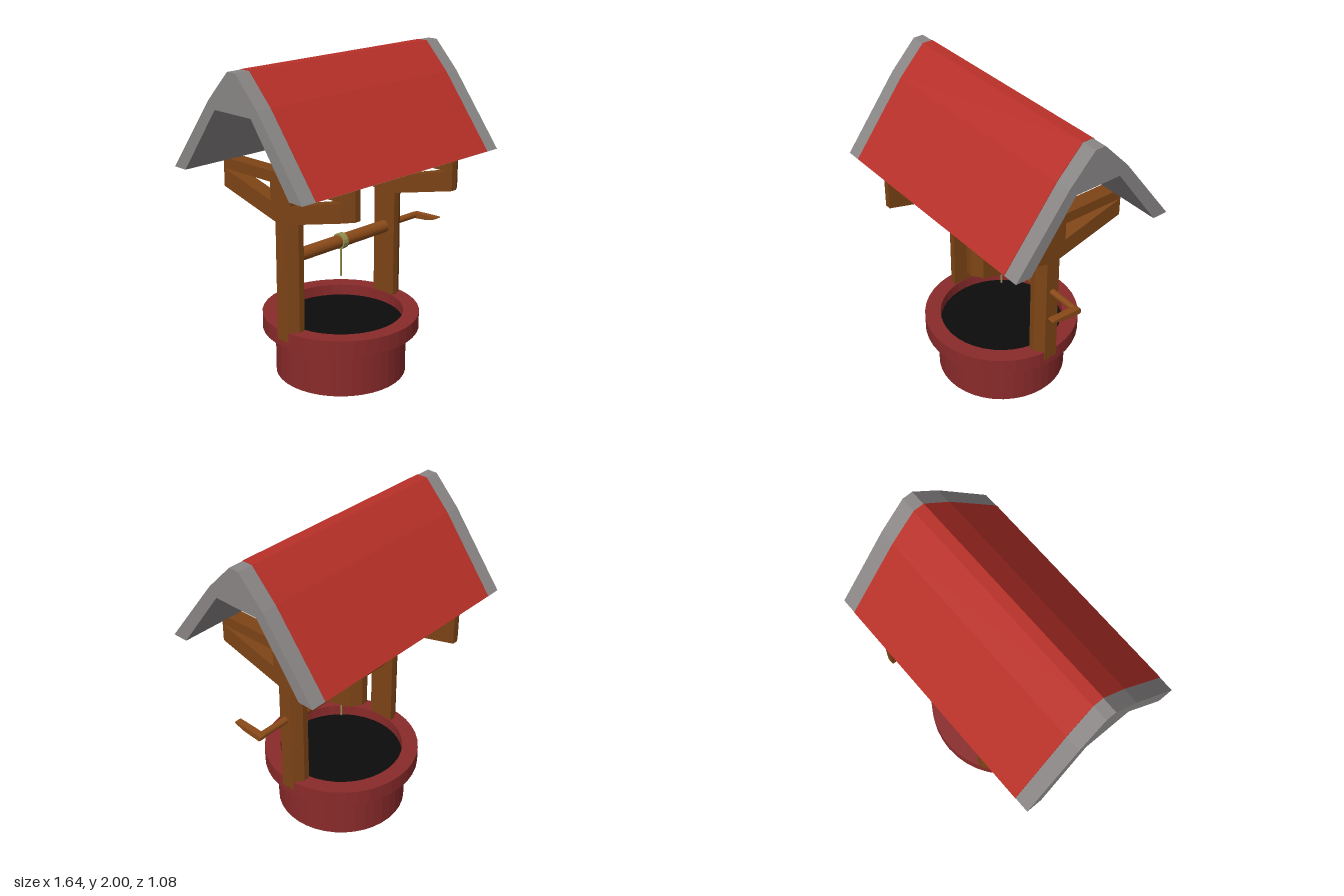
import * as THREE from 'three';

const mat = (color, side = THREE.FrontSide) =>
  new THREE.MeshStandardMaterial({ color, side, flatShading: true });
const wood = mat(0x7d4416);
const axleWood = mat(0x8a4a18);
const brick = mat(0x8a2a2a);
const red = mat(0xb83028);
const grey = mat(0x8a8686);
const ropeMat = mat(0x93904f);
const dark = mat(0x0c0c0c);

function add(parent, name, geometry, material) {
  const mesh = new THREE.Mesh(geometry, material);
  mesh.name = name;
  parent.add(mesh);
  return mesh;
}

const toShape = (pts) => new THREE.Shape(pts.map(([a, b]) => new THREE.Vector2(a, b)));

// Extrude a [z, y] outline along x between x0 and x1
function extrudeX(shape, x0, x1, steps = 1) {
  const geo = new THREE.ExtrudeGeometry(shape, { depth: x1 - x0, steps, bevelEnabled: false, curveSegments: 8 });
  return geo.rotateY(-Math.PI / 2).translate(x1, 0, 0);
}

// Mirror a half outline across z = 0 to close it
const mirrored = (half) => [...half, ...half.slice().reverse().map(([z, y]) => [-z, y])];

const cylinderX = (r, x0, x1, sides) =>
  new THREE.CylinderGeometry(r, r, x1 - x0, sides).rotateZ(Math.PI / 2).translate((x0 + x1) / 2, 0, 0);

function createWell() {
  const well = new THREE.Group();
  well.name = 'wellBase';
  // Wall, overhanging rim and inner lining, turned as one profile
  const profile = [[0.41, 0], [0.41, 0.3], [0.49, 0.3], [0.49, 0.4], [0.39, 0.4], [0.39, 0.32]];
  add(well, 'wall', new THREE.LatheGeometry(profile.map(([r, y]) => new THREE.Vector2(r, y)), 40), brick);
  add(well, 'water', new THREE.CircleGeometry(0.39, 40).rotateX(-Math.PI / 2).translate(0, 0.33, 0), dark);
  // Timber undersides
  add(well, 'floor', new THREE.CircleGeometry(0.41, 40).rotateX(Math.PI / 2), wood);
  add(well, 'rimUnderside', new THREE.RingGeometry(0.41, 0.49, 40).rotateX(Math.PI / 2).translate(0, 0.299, 0), wood);
  return well;
}

// One post with its roof bracket, on the +x side
function createSupport() {
  const support = new THREE.Group();
  support.name = 'support';

  // Post with chamfered outer corners
  const section = toShape([[0.39, -0.085], [0.43, -0.085], [0.49, -0.045], [0.49, 0.045], [0.43, 0.085], [0.39, 0.085]]);
  const post = new THREE.ExtrudeGeometry(section, { depth: 1.04, bevelEnabled: false });
  add(support, 'post', post.rotateX(-Math.PI / 2).translate(0, 0.34, 0), wood);

  // Bracket: top beam, end blocks and diagonal braces around two openings
  const outline = toShape(mirrored([[0.045, 1.08], [0.54, 1.2], [0.54, 1.38]]));
  for (const s of [1, -1]) {
    const hole = [[0.085, 1.2], [0.085, 1.313], [0.5, 1.313]];
    outline.holes.push(new THREE.Path(hole.map(([z, y]) => new THREE.Vector2(s * z, y))));
  }
  const bracket = extrudeX(outline, 0.39, 0.49, 5);
  // Chamfer the outer corners of the end blocks
  const p = bracket.attributes.position;
  for (let i = 0; i < p.count; i++) {
    const limit = 0.54 - Math.max(0, p.getX(i) - 0.43) * 0.65;
    p.setZ(i, THREE.MathUtils.clamp(p.getZ(i), -limit, limit));
  }
  bracket.computeVertexNormals();
  add(support, 'bracket', bracket, wood);
  return support;
}

function createWinch() {
  const winch = new THREE.Group();
  winch.name = 'winch';
  winch.position.y = 0.85;
  add(winch, 'axle', cylinderX(0.04, -0.4, 0.4, 16), axleWood);
  add(winch, 'crankShaft', cylinderX(0.021, 0.48, 0.69, 12).translate(0, 0.007, 0), axleWood);

  // Crank arm tapering forward
  const arm = toShape([[-0.022, -0.005], [-0.01, -0.014], [0.11, -0.003], [0.17, 0.014], [0.19, 0.024],
    [0.185, 0.03], [0.16, 0.03], [-0.01, 0.023], [-0.022, 0.015]]);
  add(winch, 'crankArm', extrudeX(arm, 0.677, 0.72), axleWood);

  add(winch, 'ropeCoil', cylinderX(0.05, -0.02, 0.02, 16), ropeMat);
  add(winch, 'rope', new THREE.CylinderGeometry(0.006, 0.006, 0.2, 8).translate(0, -0.13, 0), ropeMat);
  return winch;
}

function createRoof() {
  const roof = new THREE.Group();
  roof.name = 'roof';
  const outer = [[0.54, 1.38], [0.2, 1.825], [0.033, 2]];
  const inner = [[-0.15, 1.775], [-0.44, 1.38]];
  const full = [...mirrored(outer), ...inner, [0.15, 1.775]];
  full.splice(full.length - 3, 3, [-0.44, 1.38], [-0.15, 1.775], [0.15, 1.775], [0.44, 1.38]);
  add(roof, 'roofFrame', extrudeX(toShape(full), -0.82, 0.82), grey);

  // Thin red cladding over the slopes and ridge, leaving the gable strips bare
  const skin = mirrored(outer.map(([z, y]) => [z + 0.002, y + 0.002]));
  const under = mirrored(outer.map(([z, y]) => [z - 0.01, y - 0.01])).reverse();
  under[0][1] = under[under.length - 1][1] = 1.382;
  add(roof, 'roofCladding', extrudeX(toShape([...skin, ...under]), -0.722, 0.722), red);
  return roof;
}

export function createModel() {
  const model = new THREE.Group();
  model.name = 'wishingWell';
  model.add(createWell());

  for (const [name, turn] of [['leftSupport', 0], ['rightSupport', Math.PI]]) {
    const support = createSupport();
    support.name = name;
    support.rotation.y = turn;
    model.add(support);
  }

  // Cross beam with chamfered lower edges
  const beam = toShape(mirrored([[0.045, 1.2], [0.08, 1.237], [0.08, 1.313]]));
  add(model, 'crossBeam', extrudeX(beam, -0.4, 0.4), wood);

  model.add(createWinch(), createRoof());
  return model;
}
